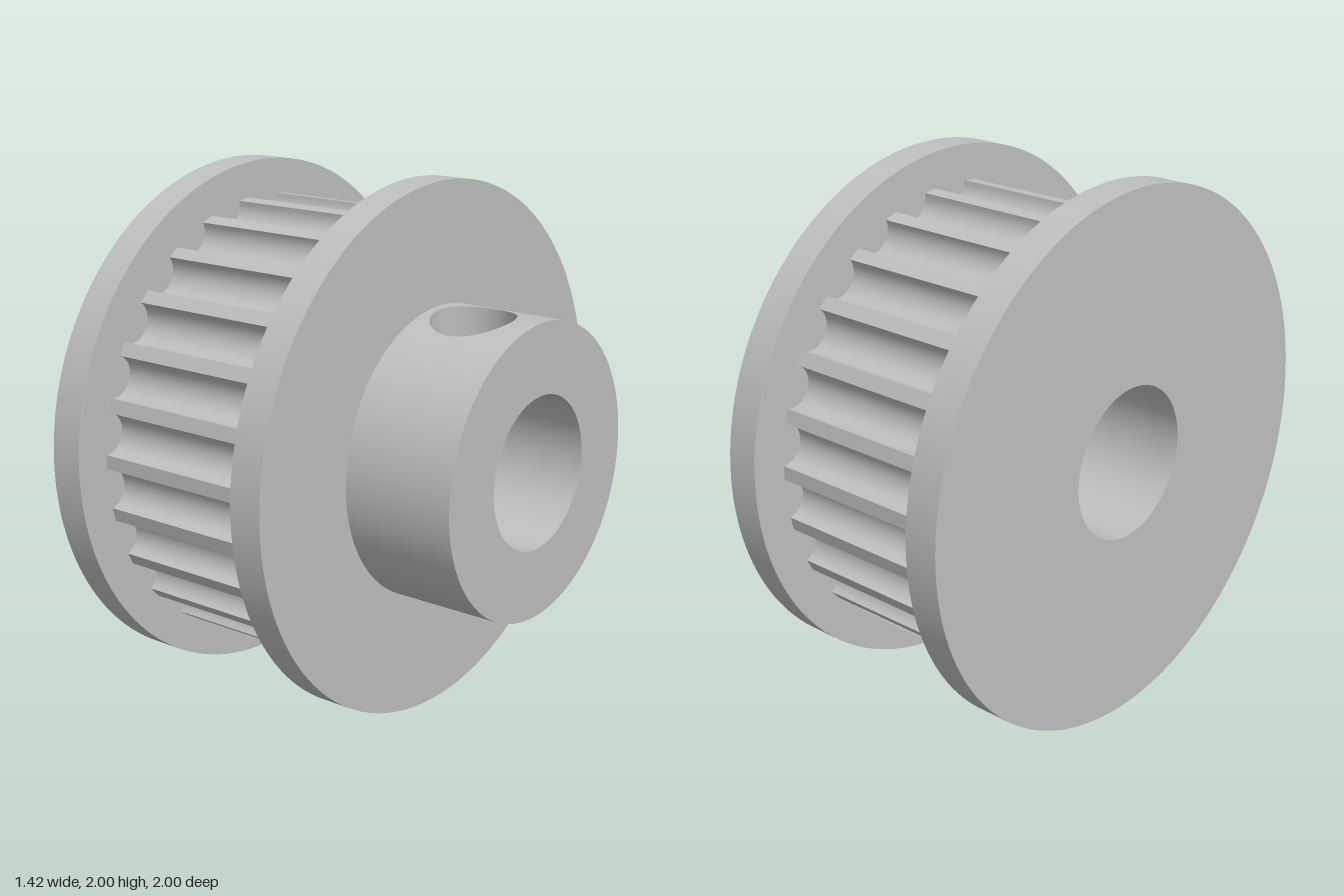
import * as THREE from 'three';
import { toCreasedNormals } from 'three/addons/utils/BufferGeometryUtils.js';

const BORE = 0.286, HUB = 0.55, FLANGE = 1, TOOTH = 0.866;
const TEETH = 26, PITCH = (2 * Math.PI) / TEETH;
const TILT = THREE.MathUtils.degToRad(6.5); // set screw and tooth phase, from +y toward +z
const HUB_X = [0.27, 0.71];
const SCREW_X = 0.457, SCREW_R = 0.155;

// Point on a cylinder around the x axis; angle is measured from +y toward +z
const onCylinder = (r, a, x) => new THREE.Vector3(x, r * Math.cos(a), r * Math.sin(a));

function circlePoints(r, n) {
  return Array.from({ length: n }, (_, i) => {
    const a = (i / n) * 2 * Math.PI;
    return new THREE.Vector2(r * Math.cos(a), r * Math.sin(a));
  });
}

// Bored disc with the given outline, extruded along x
function boredDisc(outline, x0, x1) {
  const shape = new THREE.Shape(outline);
  shape.holes.push(new THREE.Path(circlePoints(BORE, 96)));
  const geo = new THREE.ExtrudeGeometry(shape, { depth: x1 - x0, bevelEnabled: false });
  geo.rotateY(Math.PI / 2).translate(x0, 0, 0);
  return toCreasedNormals(geo, 0.5);
}

// Outline with round grooves between narrow flat lands
function toothOutline() {
  const pts = [], half = 0.078, depth = 0.073, steps = 14;
  const rim = Math.sqrt(TOOTH * TOOTH - half * half);
  for (let i = 0; i < TEETH; i++) {
    // shape x becomes -z, so the tilt runs the same way round as the angle
    const c = Math.PI / 2 + TILT + (i + 0.5) * PITCH;
    for (let j = 0; j <= steps; j++) {
      const t = (j / steps) * Math.PI;
      const u = -half * Math.cos(t), r = rim - depth * Math.sin(t);
      pts.push(new THREE.Vector2(r * Math.cos(c) - u * Math.sin(c), r * Math.sin(c) + u * Math.cos(c)));
    }
  }
  return pts;
}

// Grid surface from position and normal rules over u, v in 0..1
function surface(nu, nv, point, normal, flip = false) {
  const pos = [], nor = [], idx = [];
  for (let j = 0; j <= nv; j++) {
    for (let i = 0; i <= nu; i++) {
      const p = point(i / nu, j / nv);
      pos.push(...p);
      nor.push(...normal(p, i / nu));
    }
  }
  for (let j = 0; j < nv; j++) {
    for (let i = 0; i < nu; i++) {
      const a = j * (nu + 1) + i, b = a + 1, c = a + nu + 1, d = c + 1;
      idx.push(...(flip ? [a, d, b, a, c, d] : [a, b, d, a, d, c]));
    }
  }
  const geo = new THREE.BufferGeometry();
  geo.setAttribute('position', new THREE.Float32BufferAttribute(pos, 3));
  geo.setAttribute('normal', new THREE.Float32BufferAttribute(nor, 3));
  geo.setIndex(idx);
  return geo;
}

// Rim of the screw hole where it meets a cylinder of radius r
function screwRim(r, u) {
  const t = u * 2 * Math.PI;
  return { x: SCREW_X + SCREW_R * Math.cos(t), a: Math.asin((SCREW_R * Math.sin(t)) / r) };
}

// Hub wall of radius r: a patch around the screw hole, and the rest of the cylinder
function hubWall(r, patchAngle, inward) {
  const s = inward ? -1 : 1;
  const normal = (p) => new THREE.Vector3(0, s * p.y, s * p.z).normalize();
  const patch = surface(96, 10, (u, v) => {
    const t = u * 2 * Math.PI, c = Math.cos(t), d = Math.sin(t);
    const m = Math.max(Math.abs(c), Math.abs(d));
    const reach = c > 0 ? HUB_X[1] - SCREW_X : SCREW_X - HUB_X[0];
    const rim = screwRim(r, u);
    const x = THREE.MathUtils.lerp(rim.x, SCREW_X + (c / m) * reach, v);
    const a = THREE.MathUtils.lerp(rim.a, (d / m) * patchAngle, v);
    return onCylinder(r, a + TILT, x);
  }, normal, inward);
  const rest = surface(96, 1, (u, v) => {
    const a = TILT + patchAngle + u * 2 * (Math.PI - patchAngle);
    return onCylinder(r, a, THREE.MathUtils.lerp(HUB_X[0], HUB_X[1], v));
  }, normal, inward);
  return [patch, rest];
}

export function createModel() {
  const model = new THREE.Group();
  model.name = 'timingPulley';
  const steel = new THREE.MeshStandardMaterial({ color: 0xc0c0c0 });
  steel.name = 'plain grey metal';

  const body = new THREE.Group();
  body.name = 'pulleyBody';
  body.position.y = 1;
  model.add(body);
  const add = (name, geo, parent = body) => {
    const mesh = new THREE.Mesh(geo, steel);
    mesh.name = name;
    parent.add(mesh);
  };

  // Flanges and toothed drum
  add('outerFlange', boredDisc(circlePoints(FLANGE, 160), -0.715, -0.585));
  add('toothedDrum', boredDisc(toothOutline(), -0.585, 0.142));
  add('hubFlange', boredDisc(circlePoints(FLANGE, 160), 0.142, HUB_X[0]));

  // Hub with a radial set screw hole
  const hub = new THREE.Group();
  hub.name = 'hub';
  body.add(hub);
  hubWall(HUB, 0.6, false).forEach((g) => add('hubOuterWall', g, hub));
  hubWall(BORE, 0.9, true).forEach((g) => add('hubBore', g, hub));
  add('hubEndFace', new THREE.RingGeometry(BORE, HUB, 96).rotateY(Math.PI / 2).translate(HUB_X[1], 0, 0), hub);
  add('setScrewHole', surface(96, 1, (u, v) => {
    const r = v ? HUB : BORE, rim = screwRim(r, u);
    return onCylinder(r, rim.a + TILT, rim.x);
  }, (p, u) => {
    const t = u * 2 * Math.PI;
    return new THREE.Vector3(-Math.cos(t), Math.sin(t) * Math.sin(TILT), -Math.sin(t) * Math.cos(TILT));
  }), hub);

  return model;
}
